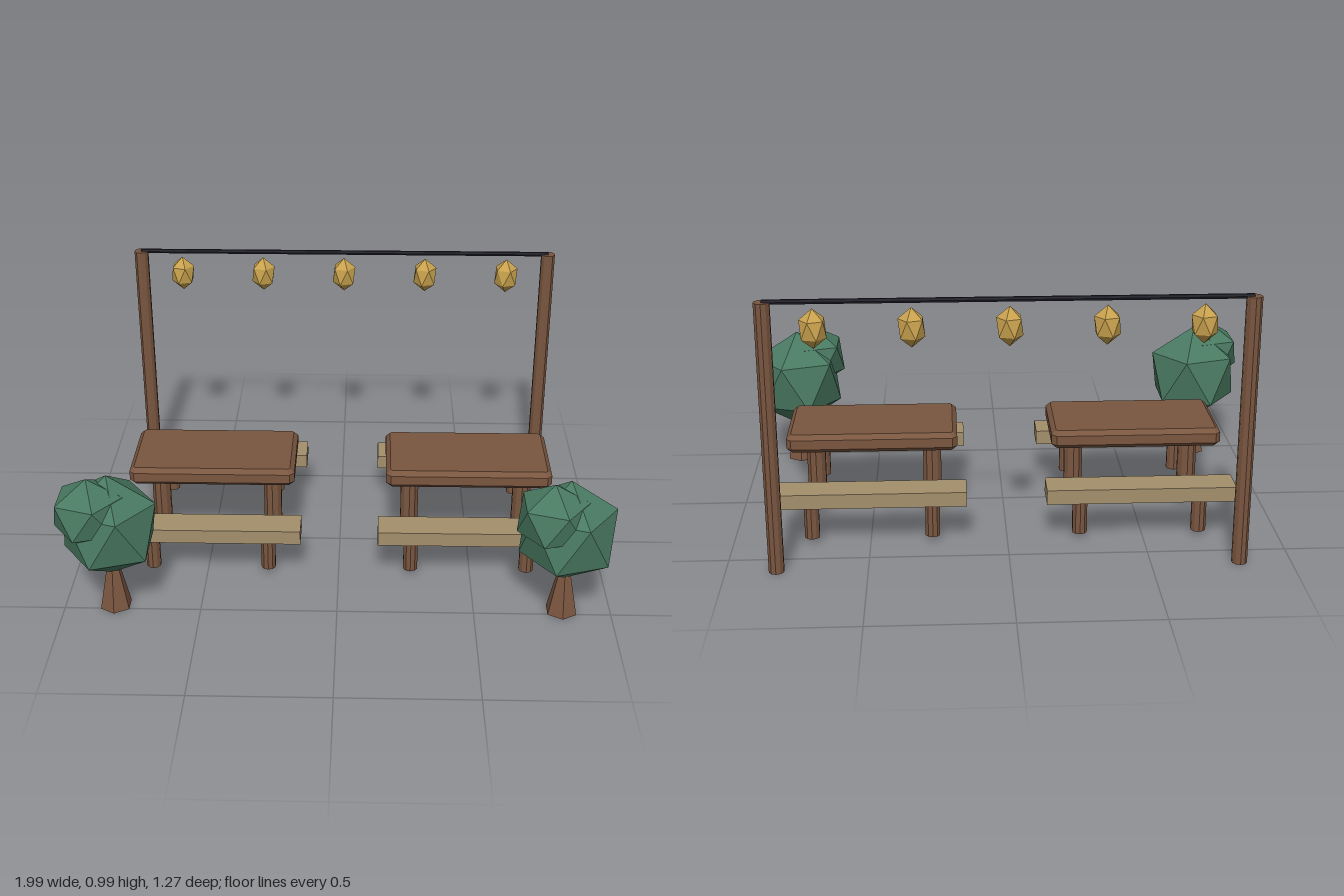
import * as THREE from 'three';
import { toCreasedNormals } from 'three/addons/utils/BufferGeometryUtils.js';

const flat = (name, color) => {
  const m = new THREE.MeshStandardMaterial({ color, flatShading: true });
  m.name = name;
  return m;
};

export function createModel() {
  const model = new THREE.Group();
  model.name = 'picnicArea';

  const wood = flat('brown wood', 0x7a5640);
  const smoothWood = wood;
  const plank = flat('pale plank', 0xa38f6c);
  const leaf = flat('leaf green', 0x4a7a62);
  const gold = flat('lantern gold', 0xc9a24e);
  const cord = flat('dark cord', 0x24222a);

  const add = (parent, name, geometry, material, x, y, z) => {
    const mesh = new THREE.Mesh(geometry, material);
    mesh.name = name;
    mesh.position.set(x, y, z);
    parent.add(mesh);
    return mesh;
  };
  const group = (name, x, z) => {
    const g = new THREE.Group();
    g.name = name;
    g.position.set(x, 0, z);
    model.add(g);
    return g;
  };

  // Icosahedron standing on a vertex, with a corner of its upper ring at +x
  const blob = (radius, height) => {
    const g = new THREE.IcosahedronGeometry(1, 0);
    g.rotateZ(-Math.atan(2 / (1 + Math.sqrt(5))));
    return g.scale(radius, height, radius);
  };

  // Chamfered slab, centred on the origin
  const slab = (w, h, d, c) => {
    const x = w / 2 - c, z = d / 2 - c, k = 0.008;
    const shape = new THREE.Shape([
      [-x + k, -z], [x - k, -z], [x, -z + k], [x, z - k],
      [x - k, z], [-x + k, z], [-x, z - k], [-x, -z + k],
    ].map(([a, b]) => new THREE.Vector2(a, b)));
    const g = new THREE.ExtrudeGeometry(shape, {
      depth: h - 2 * c, bevelEnabled: true, bevelSegments: 1, bevelSize: c, bevelThickness: c,
    });
    g.translate(0, 0, c - h / 2).rotateX(-Math.PI / 2);
    return toCreasedNormals(g, 0.6);
  };

  // Two tables, each with a bench in front and behind
  const topGeo = slab(0.63, 0.07, 0.345, 0.017);
  const tableLegGeo = new THREE.CylinderGeometry(0.036, 0.036, 0.285, 10);
  const benchGeo = new THREE.BoxGeometry(0.69, 0.055, 0.12);
  const benchLegGeo = new THREE.CylinderGeometry(0.028, 0.028, 0.14, 10);
  for (const [side, x] of [['right', -0.487], ['left', 0.493]]) {
    const table = group(side + 'Table', x, -0.063);
    add(table, 'tableTop', topGeo, smoothWood, 0, 0.33, 0);
    for (const s of [-1, 1]) add(table, 'tableLeg', tableLegGeo, wood, s * 0.22, 0.1625, 0);
    for (const [end, z] of [['Front', 0.232], ['Back', -0.357]]) {
      const bench = group(side + end + 'Bench', x, z);
      add(bench, 'benchSeat', benchGeo, plank, 0, 0.1825, 0);
      for (const s of [-1, 1]) add(bench, 'benchLeg', benchLegGeo, wood, s * 0.22, 0.09, 0);
    }
  }

  // Trees: tapered trunk with a large and a small crown
  const trunkGeo = new THREE.CylinderGeometry(0.022, 0.06, 0.18, 6);
  const crownGeo = blob(0.19, 0.202);
  const sideCrownGeo = blob(0.14, 0.13);
  for (const [side, x] of [['right', -0.815], ['left', 0.822]]) {
    const tree = group(side + 'Tree', x, 0.473);
    add(tree, 'trunk', trunkGeo, wood, 0, 0.09, 0);
    add(tree, 'crown', crownGeo, leaf, 0, 0.345, 0);
    add(tree, 'sideCrown', sideCrownGeo, leaf, -0.062, 0.427, 0.046);
  }

  // Light string between two posts
  const lights = group('lightString', 0.003, -0.592);
  const postGeo = new THREE.CylinderGeometry(0.028, 0.028, 0.982, 10);
  for (const s of [-1, 1]) add(lights, 'post', postGeo, wood, s * 0.818, 0.491, 0);
  const cordGeo = new THREE.CylinderGeometry(0.009, 0.009, 1.636, 6).rotateZ(Math.PI / 2);
  add(lights, 'cord', cordGeo, cord, 0, 0.982, 0);
  const lanternGeo = blob(0.051, 0.07);
  for (let i = -2; i <= 2; i++) add(lights, 'lantern', lanternGeo, gold, i * 0.327, 0.888, 0);

  return model;
}
